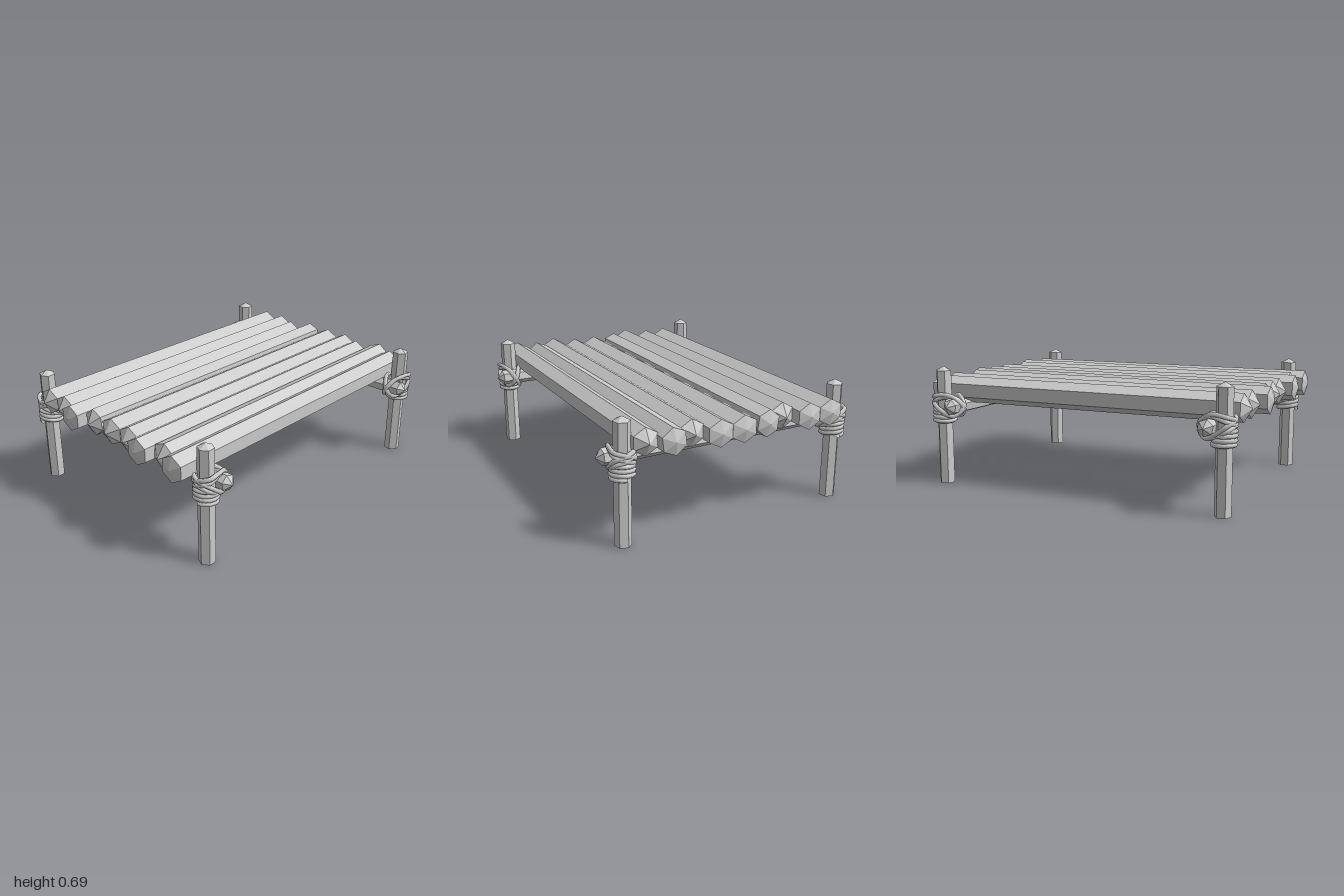
import * as THREE from 'three';

const wood = new THREE.MeshStandardMaterial({ color: 0xcccccc, flatShading: true });
const ropeMat = new THREE.MeshStandardMaterial({ color: 0xcccccc });

// Six-sided pole along y from y0 to y1, with pointed ends of height c0 and c1
function pole(r, y0, y1, c0, c1, roll) {
  const pts = [[0, y0], [r, y0 + c0], [r, y1 - c1], [0, y1]].map(p => new THREE.Vector2(...p));
  return new THREE.LatheGeometry(pts, 6).rotateY(roll);
}

function add(parent, geometry, material, name) {
  const mesh = new THREE.Mesh(geometry, material);
  mesh.name = name;
  parent.add(mesh);
  return mesh;
}

function rope(points, closed, segments) {
  const curve = new THREE.CatmullRomCurve3(points, closed);
  return new THREE.TubeGeometry(curve, segments, 0.013, 6, closed);
}

// Lashing around a post at the origin; the rail lies on the side s along x
function lashing(s, f) {
  const group = new THREE.Group();
  group.name = 'ropeLashing';
  const V = (u, y, z) => new THREE.Vector3(u * s, y, z * f);

  // Coil below the rail
  const coil = [];
  for (let i = 0; i <= 40; i++) {
    const a = i / 40 * Math.PI * 6.4;
    coil.push(V(-Math.cos(a) * 0.058, 0.37 + i / 40 * 0.075 + 0.006 * Math.cos(a), Math.sin(a) * 0.058));
  }
  add(group, rope(coil, false, 100), ropeMat, 'ropeCoil');

  // Crossed loops binding the post to the rail
  for (const m of [1, -1]) for (const d of [0, 0.026]) {
    const z = m * (0.052 + d * 0.2);
    add(group, rope([
      V(-0.056, 0.475 + d, 0), V(-0.03, 0.495 + d, z), V(0.03, 0.515 + d * 0.6, z),
      V(0.09, 0.515, z * 0.6), V(0.134, 0.465 - d * 0.4, 0),
      V(0.09, 0.406, -z * 0.6), V(0.03, 0.42 + d * 0.4, -z), V(-0.03, 0.45 + d, -z),
    ], true, 48), ropeMat, 'ropeCross');
  }
  return group;
}

export function createModel() {
  const model = new THREE.Group();
  model.name = 'logPlatform';

  // Deck logs: z, height of centre, width, roll, end shift direction
  const logs = [
    [0.54, 0.554, 0.134, 0, -1], [0.413, 0.554, 0.13, 0.13, 1], [0.28, 0.554, 0.132, 0, -1],
    [0.146, 0.548, 0.14, 0, 1], [0.004, 0.548, 0.144, 0, 1], [-0.142, 0.554, 0.126, -0.15, 1],
    [-0.274, 0.554, 0.132, 0, -1], [-0.409, 0.548, 0.138, 0, 1], [-0.549, 0.548, 0.14, 0, 1],
  ];
  for (const [z, y, width, roll, dir] of logs) {
    const g = pole(0.076, -0.96, 1, 0.045, 0.022, Math.PI / 2 + roll).rotateZ(-Math.PI / 2);
    g.scale(1, 1, width / 0.132);
    if (dir < 0) g.rotateY(Math.PI);
    add(model, g, wood, 'deckLog').position.set(0, y, z);
  }

  for (const side of [-1, 1]) {
    const name = side > 0 ? 'left' : 'right';
    const postX = side > 0 ? 0.868 : -0.848;

    // Cross rail under the deck
    const rail = pole(0.046, -0.76, 0.755, 0.035, 0.035, 0.2).rotateX(Math.PI / 2);
    add(model, rail, wood, name + 'Rail').position.set(side > 0 ? 0.785 : -0.768, 0.462, 0);

    // Corner posts with their lashings
    for (const end of [1, -1]) {
      const corner = new THREE.Group();
      corner.name = name + (end > 0 ? 'Front' : 'Back') + 'Corner';
      corner.position.set(postX, 0, end > 0 ? 0.647 : -0.659);
      add(corner, pole(0.046, 0, 0.692, 0, 0.024, Math.PI / 2 + (side > 0 ? 0.22 : 0.06)), wood, 'post');
      corner.add(lashing(-side, end));
      model.add(corner);
    }
  }

  // Ropes are mirrored by their points, so both faces are shown
  ropeMat.side = THREE.DoubleSide;
  return model;
}
